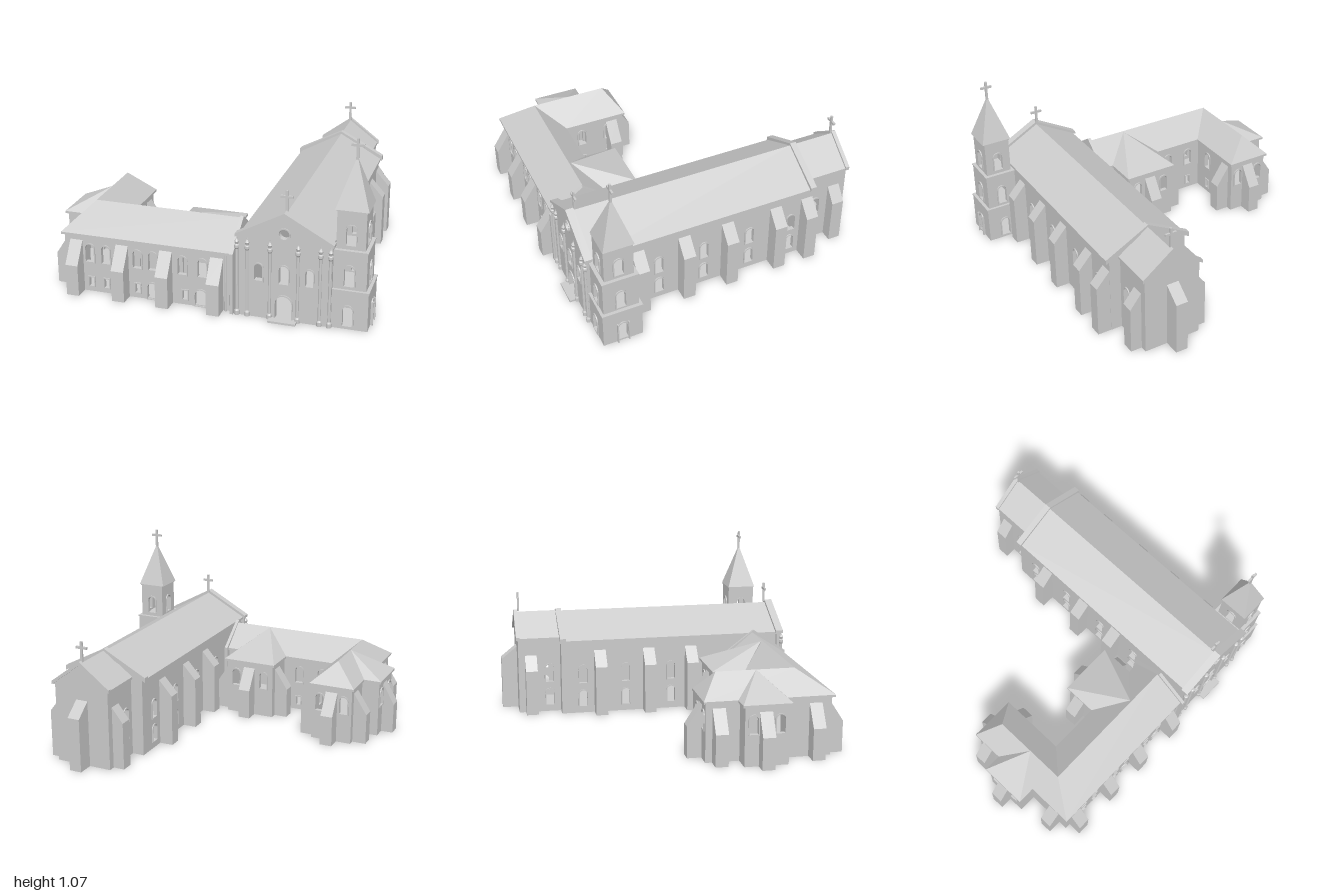
import * as THREE from 'three';

const mat = new THREE.MeshStandardMaterial({ color: 0xcccccc, flatShading: true });

// Opening outline: kind 0 arched, 1 rectangular, 2 round
function outline(path, x, y, w, h, kind) {
  const r = w / 2;
  if (kind === 2) return path.absarc(x, y + r, r, 0, Math.PI * 2, false), path;
  path.moveTo(x - r, y);
  path.lineTo(x + r, y);
  if (kind === 1) {
    path.lineTo(x + r, y + h);
    path.lineTo(x - r, y + h);
  } else {
    path.lineTo(x + r, y + h - r);
    path.absarc(x, y + h - r, r, 0, Math.PI, false);
  }
  path.closePath();
  return path;
}

export function createModel() {
  const root = new THREE.Group();
  root.name = 'church';

  const add = (name, geo, x = 0, y = 0, z = 0, parent = root) => {
    const m = new THREE.Mesh(geo, mat);
    m.name = name;
    m.position.set(x, y, z);
    parent.add(m);
    return m;
  };
  // Box given by its limits
  const box = (name, x0, x1, y0, y1, z0, z1) =>
    add(name, new THREE.BoxGeometry(x1 - x0, y1 - y0, z1 - z0), (x0 + x1) / 2, (y0 + y1) / 2, (z0 + z1) / 2);

  // Wall from a to b (outside on its right), optional gable peak, framed openings [t, y, w, h, kind]
  function wall(name, a, b, y0, h, openings = [], peak = null, thick = 0.02) {
    const dx = b[0] - a[0], dz = b[1] - a[1], len = Math.hypot(dx, dz);
    const g = new THREE.Group();
    g.name = name;
    g.position.set(a[0], y0, a[1]);
    g.rotation.y = Math.atan2(-dz, dx);
    const s = new THREE.Shape();
    s.moveTo(0, 0);
    s.lineTo(len, 0);
    s.lineTo(len, h);
    if (peak) s.lineTo(len * (peak[1] ?? 0.5), peak[0]);
    s.lineTo(0, h);
    s.closePath();
    for (const [t, y, w, oh, k = 0] of openings) {
      s.holes.push(outline(new THREE.Path(), t, y, w, oh, k));
      const f = 0.007, yb = Math.max(0, y - f);
      const frame = outline(new THREE.Shape(), t, yb, w + 2 * f, y + oh + f - yb, k);
      frame.holes.push(outline(new THREE.Path(), t, y, w, oh, k));
      add('windowFrame', new THREE.ExtrudeGeometry(frame, { depth: 0.012, bevelEnabled: false, curveSegments: 8 }), 0, 0, -0.005, g);
    }
    add('wallPanel', new THREE.ExtrudeGeometry(s, { depth: thick, bevelEnabled: false, curveSegments: 8 }), 0, 0, -thick, g);
    root.add(g);
  }

  // Convex roof slab: top polygon with a vertical thickness
  function slab(name, pts, t = 0.014) {
    const v = pts.map(p => new THREE.Vector3(...p));
    const n = new THREE.Vector3().crossVectors(v[1].clone().sub(v[0]), v[2].clone().sub(v[0]));
    if (n.y < 0) v.reverse();
    const low = v.map(p => new THREE.Vector3(p.x, p.y - t, p.z));
    const out = [];
    const tri = (...ps) => ps.forEach(p => out.push(p.x, p.y, p.z));
    for (let i = 1; i < v.length - 1; i++) {
      tri(v[0], v[i], v[i + 1]);
      tri(low[0], low[i + 1], low[i]);
    }
    v.forEach((p, i) => {
      const j = (i + 1) % v.length;
      tri(p, low[i], low[j]);
      tri(p, low[j], v[j]);
    });
    const geo = new THREE.BufferGeometry();
    geo.setAttribute('position', new THREE.Float32BufferAttribute(out, 3));
    geo.computeVertexNormals();
    add(name, geo);
  }
  const gableRoof = (name, x0, x1, z0, z1, eave, ridge, t) => {
    const c = (x0 + x1) / 2;
    for (const x of [x0, x1])
      slab(name, [[x, eave, z0], [x, eave, z1], [c, ridge, z1], [c, ridge, z0]], t);
  };

  // Sloped buttress leaning on a wall; dir is the outward direction
  const turn = { E: 0, N: Math.PI / 2, W: Math.PI, S: -Math.PI / 2 };
  function buttress(x, z, dir, hi = 0.32, lo = 0.19, depth = 0.08) {
    const s = new THREE.Shape([[-0.01, 0], [depth, 0], [depth, lo], [0, hi], [-0.01, hi]].map(p => new THREE.Vector2(...p)));
    const geo = new THREE.ExtrudeGeometry(s, { depth: 0.076, bevelEnabled: false }).translate(0, 0, -0.038);
    add('buttress', geo, x, 0, z).rotation.y = turn[dir];
  }
  function cross(x, y, z, h) {
    box('crossPost', x - 0.007, x + 0.007, y, y + h, z - 0.006, z + 0.006);
    box('crossArm', x - 0.036, x + 0.036, y + h - 0.045, y + h - 0.031, z - 0.006, z + 0.006);
  }

  // Nave
  const bays = [0.43, 0.14, -0.16, -0.44];
  const pair = t => [[t, 0.045, 0.052, 0.105], [t, 0.2, 0.052, 0.115]];
  wall('naveRightWall', [0.76, 0.86], [0.76, -0.575], 0, 0.485, bays.flatMap(z => pair(0.86 - z)));
  wall('naveLeftWall', [0.26, -0.575], [0.26, 0.86], 0, 0.485, bays.flatMap(z => pair(z + 0.575)));
  wall('naveBackWall', [0.76, -0.58], [0.26, -0.58], 0, 0.48, [], [0.625]);
  box('naveFloor', 0.26, 0.76, 0, 0.01, -0.58, 0.88);
  gableRoof('naveRoof', 0.245, 0.775, -0.56, 0.86, 0.485, 0.632);
  gableRoof('naveBackCoping', 0.235, 0.785, -0.588, -0.55, 0.503, 0.647, 0.03);

  // Chancel
  wall('chancelRightWall', [0.69, -0.57], [0.69, -0.85], 0, 0.49, pair(0.08));
  wall('chancelLeftWall', [0.335, -0.85], [0.335, -0.57], 0, 0.49, pair(0.2));
  wall('chancelEndWall', [0.69, -0.85], [0.335, -0.85], 0, 0.49, [], [0.63]);
  box('chancelFloor', 0.335, 0.69, 0, 0.01, -0.85, -0.57);
  gableRoof('chancelRoof', 0.325, 0.7, -0.85, -0.57, 0.495, 0.635);
  gableRoof('chancelCoping', 0.32, 0.706, -0.862, -0.838, 0.505, 0.65, 0.022);
  cross(0.51, 0.64, -0.83, 0.125);

  // Nave and chancel buttresses
  for (const z of [0.56, 0.27, -0.01, -0.33, -0.54]) buttress(0.76, z, 'E', 0.415, 0.32, 0.085);
  for (const z of [0.27, -0.01, -0.33]) buttress(0.26, z, 'W', 0.415, 0.32, 0.085);
  buttress(0.69, -0.77, 'E', 0.38, 0.29, 0.07);
  buttress(0.335, -0.77, 'W', 0.38, 0.29, 0.07);
  buttress(0.51, -0.85, 'N', 0.41, 0.33, 0.1);

  // Front gable with door, windows and rosette
  wall('facade', [0.24, 0.88], [0.78, 0.88], 0, 0.485, [
    [0.27, 0.005, 0.095, 0.145], [0.27, 0.225, 0.055, 0.11], [0.125, 0.23, 0.046, 0.1],
    [0.415, 0.23, 0.046, 0.1], [0.27, 0.495, 0.06, 0.06, 2]], [0.635], 0.03);
  gableRoof('facadeCoping', 0.23, 0.79, 0.842, 0.89, 0.497, 0.65, 0.018);
  box('doorStep', 0.43, 0.59, 0, 0.012, 0.87, 0.93);
  cross(0.51, 0.64, 0.835, 0.125);
  for (const x of [0.24, 0.3, 0.43, 0.59, 0.715, 0.77]) {
    const profile = [[0, 0], [0.015, 0], [0.015, 0.025], [0.009, 0.035], [0.009, 0.405], [0.015, 0.415],
      [0.015, 0.43], [0.008, 0.435], [0.014, 0.452], [0.004, 0.468], [0, 0.487]];
    add('facadeColumn', new THREE.LatheGeometry(profile.map(p => new THREE.Vector2(...p)), 10), x, 0, 0.882);
  }
  for (const x of [0.17, 0.197])
    add('downpipe', new THREE.CylinderGeometry(0.006, 0.006, 0.36, 8), x, 0.18, 0.868);

  // Bell tower: three shrinking stages, spire and cross
  const tx = 0.87, tz = 0.752;
  const stages = [[0.113, 0.12, 0, 0.235, 0.02, 0.12], [0.097, 0.107, 0.235, 0.465, 0.02, 0.12], [0.081, 0.088, 0.465, 0.69, 0.025, 0.115]];
  stages.forEach(([a, b, y0, y1, wy, wh], i) => {
    const c = [[-a, b], [a, b], [a, -b], [-a, -b]].map(([x, z]) => [tx + x, tz + z]);
    c.forEach((p, k) => {
      const len = k % 2 ? 2 * b : 2 * a;
      const open = k === 3 && i < 2 ? [] : [[len / 2, wy, 0.056, wh]];
      wall('towerWall', p, c[(k + 1) % 4], y0, y1 - y0, open);
    });
    box('towerFloor', tx - a, tx + a, y0, y0 + 0.012, tz - b, tz + b);
    box('towerLedge', tx - a - 0.004, tx + a + 0.004, y1 - 0.008, y1, tz - b - 0.004, tz + b + 0.004);
  });
  box('windowSill', 0.98, 0.998, 0, 0.14, 0.715, 0.722);
  box('windowSill', 0.98, 0.998, 0, 0.14, 0.782, 0.789);
  const spire = new THREE.ConeGeometry(0.093 * Math.SQRT2, 0.28, 4, 1).rotateY(Math.PI / 4);
  add('spire', spire, tx, 0.83, tz);
  cross(tx, 0.95, tz, 0.12);

  // Side wing walls, walked around the outline
  const small = t => [t, 0.035, 0.03, 0.055, 1], tall = t => [t, 0.19, 0.052, 0.11];
  const ring = [[-0.815, 0.86], [0.21, 0.86], [0.21, 0.525], [0.115, 0.525], [0.115, 0.315], [-0.205, 0.315],
    [-0.205, 0.525], [-0.555, 0.525], [-0.555, 0.115], [-0.815, 0.115], [-0.815, 0.315], [-0.925, 0.315],
    [-0.925, 0.575], [-0.815, 0.575]];
  ring.forEach((p, i) => {
    if (i === 1) return;
    const q = ring[(i + 1) % ring.length], len = Math.hypot(q[0] - p[0], q[1] - p[1]);
    let open = [];
    if (i === 0) open = [
      ...[-0.66, -0.56, -0.365, -0.27, -0.09, 0.03].map(x => tall(x + 0.815)),
      ...[-0.655, -0.56, -0.365, -0.075].map(x => small(x + 0.815)),
      [0.54, 0.005, 0.062, 0.1], [0.835, 0.005, 0.072, 0.1]];
    else if (len > 0.3 && i !== 4) open = [0.3, 0.75].flatMap(f => [tall(len * f), small(len * f)]);
    else if (i === 4 || i === 8 || i === 11) open = [0.2, 0.8].map(f => tall(len * f));
    wall('wingWall', p, q, 0, 0.355, open);
  });
  box('wingFloor', -0.815, 0.25, 0, 0.01, 0.525, 0.86);
  box('wingFloor', -0.815, -0.555, 0, 0.01, 0.115, 0.525);
  box('wingFloor', -0.925, -0.815, 0, 0.01, 0.315, 0.575);
  box('wingFloor', -0.205, 0.115, 0, 0.01, 0.315, 0.525);
  wall('wingGable', [0.22, 0.895], [0.22, 0.49], 0, 0.37, [], [0.515, 0.53]);

  // Wing hip roofs and the two projecting bay hips
  const e = 0.365, r = 0.5;
  const corner = [-0.69, r, 0.67], end = [-0.69, r, 0.2];
  slab('wingRoof', [[-0.83, e, 0.878], [0.205, e, 0.878], [0.205, r, 0.67], corner]);
  slab('wingRoof', [[0.205, e, 0.51], [-0.54, e, 0.51], corner, [0.205, r, 0.67]]);
  slab('wingRoof', [[-0.83, e, 0.1], [-0.83, e, 0.878], corner, end]);
  slab('wingRoof', [[-0.54, e, 0.51], [-0.54, e, 0.1], end, corner]);
  slab('wingRoof', [[-0.83, e, 0.1], [-0.54, e, 0.1], end]);
  const hip = (top, pts) => {
    for (let i = 0; i < 3; i++) slab('bayRoof', [pts[i], pts[i + 1], top]);
  };
  hip([-0.04, r, 0.66], [[0.13, e, 0.51], [0.13, e, 0.3], [-0.22, e, 0.3], [-0.22, e, 0.51]]);
  hip([-0.69, r, 0.44], [[-0.83, e, 0.3], [-0.94, e, 0.3], [-0.94, e, 0.59], [-0.83, e, 0.59]]);

  // Wing buttresses
  for (const x of [-0.742, -0.458, -0.19, 0.115]) buttress(x, 0.86, 'S', 0.32, 0.19, 0.085);
  buttress(-0.815, 0.765, 'W', 0.32, 0.19, 0.085);
  buttress(-0.925, 0.437, 'W', 0.32, 0.19, 0.075);
  buttress(-0.815, 0.193, 'W', 0.32, 0.19, 0.085);
  buttress(-0.555, 0.193, 'E', 0.32, 0.19, 0.085);
  buttress(-0.683, 0.115, 'N', 0.32, 0.19, 0.085);
  buttress(-0.205, 0.397, 'W', 0.32, 0.19, 0.085);
  buttress(0.115, 0.397, 'E', 0.32, 0.19, 0.085);
  buttress(-0.04, 0.315, 'N', 0.32, 0.19, 0.085);

  return root;
}
